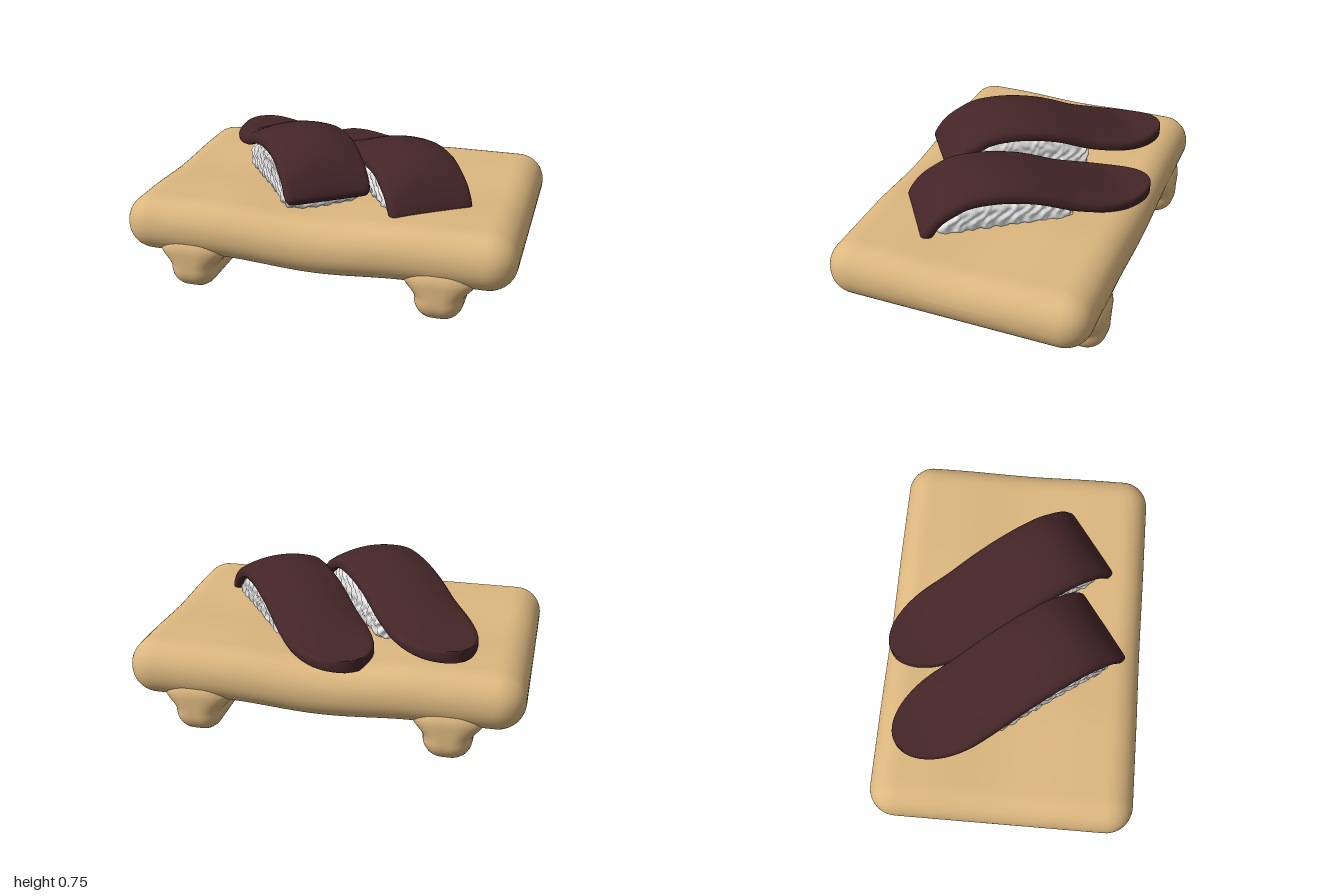
import * as THREE from 'three';
import { mergeVertices } from 'three/addons/utils/BufferGeometryUtils.js';

const wood = new THREE.MeshStandardMaterial({ color: 0xdcb77f });
wood.name = 'pale wood';
const topping = new THREE.MeshStandardMaterial({ color: 0x452628 });
topping.name = 'dark maroon';
const riceWhite = new THREE.MeshStandardMaterial({ color: 0xececec });
riceWhite.name = 'rice white';

const smooth = THREE.MathUtils.smoothstep;

// Finely divided box with rounded edges, then reshaped by a rule
function softBox(hx, hy, hz, r, segs, rule) {
  const box = new THREE.BoxGeometry(hx * 2, hy * 2, hz * 2, ...segs);
  box.deleteAttribute('uv');
  box.deleteAttribute('normal');
  const geo = mergeVertices(box, 1e-5);
  const pos = geo.attributes.position;
  const p = new THREE.Vector3(), q = new THREE.Vector3();
  const inner = new THREE.Vector3(hx - r, hy - r, hz - r), low = inner.clone().negate();
  for (let i = 0; i < pos.count; i++) {
    p.fromBufferAttribute(pos, i);
    q.copy(p).clamp(low, inner);
    p.sub(q).normalize().multiplyScalar(r).add(q);
    rule(p);
    pos.setXYZ(i, p.x, p.y, p.z);
  }
  geo.computeVertexNormals();
  return geo;
}

function part(name, geo, material) {
  const mesh = new THREE.Mesh(geo, material);
  mesh.name = name;
  return mesh;
}

// Height of the topping's middle layer along its length, tail to front
const stations = [-0.62, -0.43, -0.19, 0.06, 0.3, 0.44, 0.54, 0.62];
const heights = [0.518, 0.522, 0.6, 0.69, 0.72, 0.695, 0.615, 0.49];
const spline = new THREE.CubicInterpolant(stations, heights, 1, new Float32Array(1));
const arc = (s) => spline.evaluate(THREE.MathUtils.clamp(s, -0.62, 0.62))[0];
const sag = (u, s) =>
  0.045 * (u / 0.22) ** 2 * smooth(s, -0.5, -0.1) * (1 - smooth(s, 0.45, 0.62));

// Draped slice: rounded tail, arched middle, straight front edge
function toppingGeometry(lift) {
  return softBox(0.222, 0.032, 0.62, 0.028, [24, 6, 72], (p) => {
    let s = p.z;
    if (s < -0.25) {
      const t = Math.sin(Math.min(1, (-0.25 - s) / 0.37) * Math.PI / 2);
      p.x *= Math.max(0.02, Math.sqrt(1 - t * t));
      s = -0.25 - 0.37 * t;
    }
    const angle = Math.atan2(arc(s + 0.01) - arc(s - 0.01), 0.02);
    const y = p.y;
    p.z = s - y * Math.sin(angle);
    p.y = arc(s) - sag(p.x, s) + y * Math.cos(angle) + lift;
  });
}

// Rice block that fills the space under the slice, with a grainy surface
function riceGeometry(lift) {
  const geo = softBox(0.2, 0.13, 0.36, 0.07, [44, 28, 72], (p) => {
    const t = (p.y + 0.13) / 0.26;
    p.z += 0.2;
    const top = arc(p.z) - sag(p.x, p.z) - 0.03 + lift;
    p.y = THREE.MathUtils.lerp(0.42, top, t);
  });
  const pos = geo.attributes.position, nor = geo.attributes.normal;
  for (let i = 0; i < pos.count; i++) {
    const x = pos.getX(i), y = pos.getY(i), z = pos.getZ(i);
    const grain = Math.sin(95 * x + 4 * Math.sin(31 * z)) * Math.sin(105 * y + 3 * Math.sin(43 * z))
      + Math.sin(88 * z + 4 * Math.sin(37 * y) + 20 * x);
    const d = 0.0045 * grain;
    pos.setXYZ(i, x + nor.getX(i) * d, y + nor.getY(i) * d, z + nor.getZ(i) * d);
  }
  geo.computeVertexNormals();
  return geo;
}

function sushi(name, x, z, lift) {
  const piece = new THREE.Group();
  piece.name = name;
  piece.add(part('rice', riceGeometry(lift), riceWhite));
  piece.add(part('topping', toppingGeometry(lift), topping));
  piece.position.set(x, 0, z);
  piece.rotation.y = 0.62;
  return piece;
}

export function createModel() {
  const model = new THREE.Group();
  model.name = 'sushiBoard';

  // Board, sagging gently toward the middle
  model.add(part('board', softBox(1, 0.145, 0.68, 0.14, [80, 16, 56], (p) => {
    const dipX = 0.5 + 0.5 * Math.cos(Math.PI * Math.min(1, Math.abs(p.x) / 0.5));
    const dipZ = 0.5 + 0.5 * Math.cos(Math.PI * Math.min(1, Math.abs(p.z) / 0.4));
    p.y += 0.31 - 0.025 * dipX - (p.y > 0 ? 0.012 * dipZ : 0);
  }), wood));

  // Two rail feet, flaring where they meet the board
  for (const side of [-1, 1]) {
    const foot = part(side > 0 ? 'leftFoot' : 'rightFoot',
      softBox(0.122, 0.15, 0.685, 0.1, [16, 24, 48], (p) => {
        p.y += 0.15;
        p.x *= 1 + 0.5 * smooth(p.y, 0.11, 0.21);
      }), wood);
    foot.position.x = side * 0.635;
    model.add(foot);
  }

  // Two pieces side by side, set at a slant
  model.add(sushi('rightSushi', -0.315, -0.046, 0));
  model.add(sushi('leftSushi', 0.187, -0.133, -0.065));
  return model;
}
